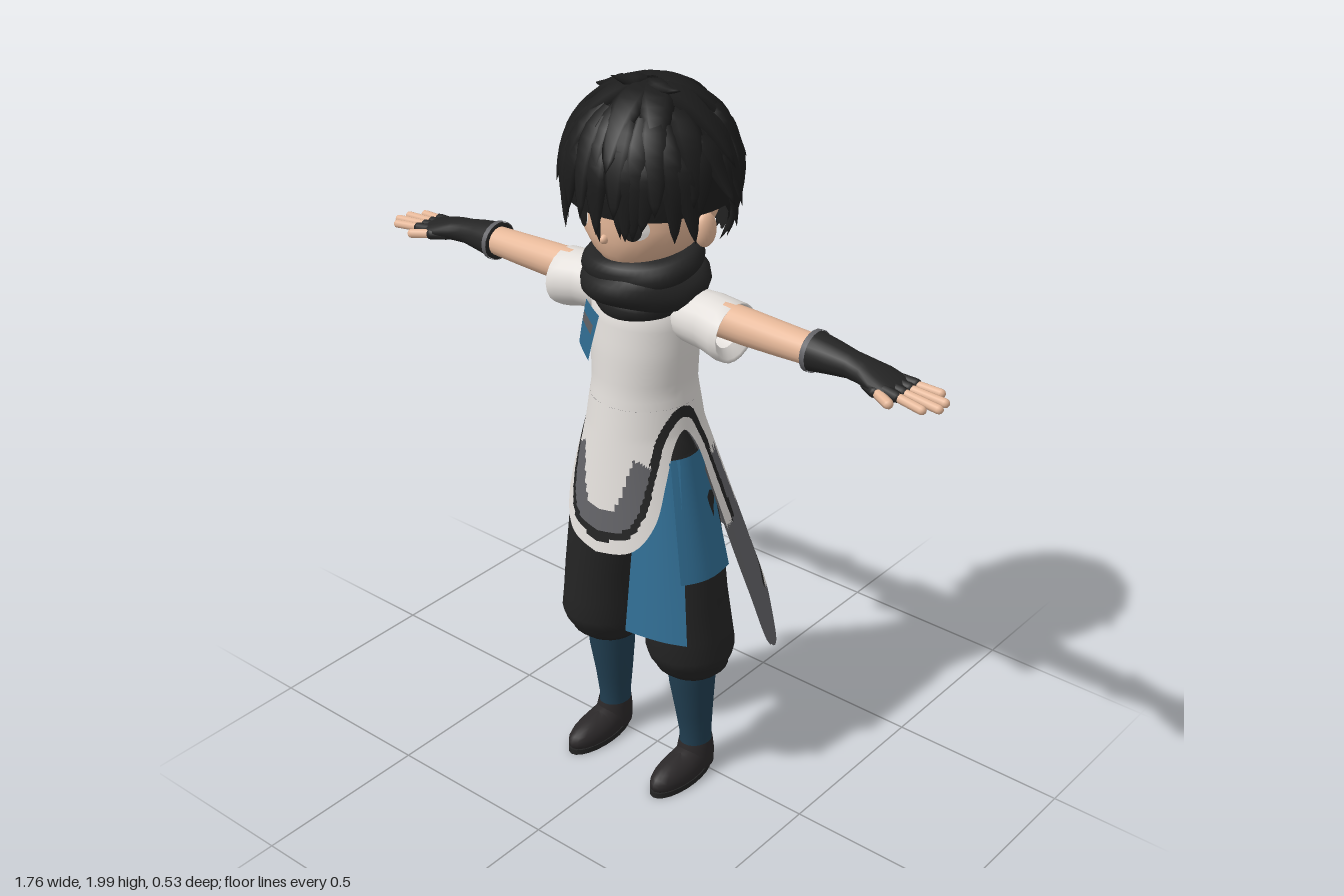
import * as THREE from 'three';
import { mergeVertices } from 'three/addons/utils/BufferGeometryUtils.js';

const mat = (name, color) => {
  const m = new THREE.MeshStandardMaterial({ color, side: THREE.DoubleSide });
  m.name = name;
  return m;
};
const { sin, cos, PI, abs, min, max, sqrt } = Math;

export function createModel() {
  const white = mat('white cloth', 0xe2deda), grey = mat('grey cloth', 0x626266);
  const black = mat('black cloth', 0x242424), hairMat = mat('black hair', 0x1c1c1c);
  const blue = mat('blue cloth', 0x316e94), navy = mat('navy boots', 0x213f52);
  const skin = mat('skin', 0xe6b899), shoeMat = mat('dark leather', 0x2b2829);
  const model = new THREE.Group();
  model.name = 'character';

  const add = (name, geo, m, parent = model) => {
    const mesh = new THREE.Mesh(geo, m);
    mesh.name = name;
    parent.add(mesh);
    return mesh;
  };
  // Surface from a rule f(u, v); pick(u, v) chooses a material index for each cell
  const grid = (nu, nv, f, pick = () => 0) => {
    const pos = [], lists = [[], [], []], g = new THREE.BufferGeometry();
    for (let j = 0; j <= nv; j++) for (let i = 0; i <= nu; i++) pos.push(...f(i / nu, j / nv));
    for (let j = 0; j < nv; j++) for (let i = 0; i < nu; i++) {
      const a = j * (nu + 1) + i, b = a + nu + 1;
      lists[pick((i + 0.5) / nu, (j + 0.5) / nv)].push(a, b, a + 1, b, b + 1, a + 1);
    }
    g.setAttribute('position', new THREE.Float32BufferAttribute(pos, 3));
    g.setIndex(lists.flat());
    let start = 0;
    lists.forEach((l, k) => { if (l.length) g.addGroup(start, l.length, k); start += l.length; });
    const merged = mergeVertices(g, 1e-5);
    merged.computeVertexNormals();
    return merged;
  };
  // Linear lookup in rows sorted by a falling first value
  const look = (rows, y) => {
    let i = 0;
    while (i < rows.length - 2 && rows[i + 1][0] > y) i++;
    const t = (y - rows[i][0]) / (rows[i + 1][0] - rows[i][0]);
    return rows[i].map((v, k) => v + (rows[i + 1][k] - v) * t);
  };
  // Stack of ellipses [y, centreX, centreZ, radiusX, radiusZ], highest first
  const loft = (rows, n = 24) => grid(n, rows.length - 1, (u, v) => {
    const [y, cx, cz, rx, rz] = rows[Math.round(v * (rows.length - 1))];
    return [cx + rx * sin(u * 2 * PI), y, cz + rz * cos(u * 2 * PI)];
  });
  const ball = (x, y, z, rx, ry, rz) => new THREE.SphereGeometry(1, 20, 14).scale(rx, ry, rz).translate(x, y, z);

  // Tunic: one cross-section rule for chest and skirt [y, side, front, back]
  const body = [[1.5, 0.07, 0.06, 0.05], [1.46, 0.12, 0.1, 0.085], [1.4, 0.146, 0.13, 0.095], [1.3, 0.145, 0.142, 0.112],
    [1.2, 0.137, 0.148, 0.115], [1.08, 0.153, 0.165, 0.138], [0.4, 0.35, 0.26, 0.385]];
  const tunic = (a, y, off = 0) => {
    const [, rx, rf, rb] = look(body, y);
    return [(rx + off) * sin(a), y, 0.04 + ((cos(a) > 0 ? rf : rb) + off) * cos(a)];
  };
  add('tunicTop', grid(40, 16, (u, v) => tunic(u * 2 * PI, 1.5 - v * 0.34)), white);

  // Skirt hem as [degrees, height]: front apron, side arches, long tail at the left
  const S = 0.22, rad = PI / 180;
  const hem = new THREE.CatmullRomCurve3([[0, 0.76], [25, 0.785], [42, 0.86], [54, 0.97], [66, 1.06], [79, 1.095], [91, 1.04],
    [97, 0.93], [102, 0.78], [107, 0.6], [112, 0.42], [116, 0.41], [128, 0.5], [148, 0.575], [180, 0.62], [215, 0.66], [248, 0.71],
    [259, 0.77], [267, 0.92], [273, 1.04], [282, 1.095], [294, 1.06], [306, 0.97], [318, 0.86], [335, 0.785], [360, 0.76]]
    .map(([d, y]) => new THREE.Vector3(d * rad * S, y, 0)));
  hem.arcLengthDivisions = 800;
  const edge = hem.getSpacedPoints(260);
  const skirtAt = (u, v) => {
    const p = hem.getPointAt(u);
    return [p.x / S, 1.16 + (p.y - 1.16) * v];
  };
  const trim = (u, v) => {
    const [a, y] = skirtAt(u, v);
    let d = 9, e = edge[0];
    for (const p of edge) {
      const q = Math.hypot(p.x - a * S, p.y - y);
      if (q < d) { d = q; e = p; }
    }
    const deg = e.x / S / rad;
    if (deg > 97 && deg < 135 && e.y < 0.8) return d < 0.15 ? 2 : 0;
    if (d < 0.034) return 0;
    if (d < (e.y > 1 ? 0.064 : 0.054)) return 1;
    return d < 0.115 && e.y < 0.99 ? 2 : 0;
  };
  add('tunicSkirt', grid(220, 40, (u, v) => tunic(...skirtAt(u, v)), trim), [white, black, grey]);
  add('skirtLining', grid(110, 16, (u, v) => tunic(...skirtAt(u, v), -0.007)), grey);

  // Blue chest strap with a buckle, hanging just off the tunic front
  const strap = (name, m, v0, v1, w, off) => add(name, grid(6, 8, (u, v) => {
    const t = v0 + (v1 - v0) * v, x = -0.068 - 0.052 * t + (u - 0.5) * w;
    return [x, 1.405 - 0.145 * t - (u - 0.5) * 0.025, 0.172 + off - 2.2 * x * x];
  }), m);
  strap('chestStrap', blue, 0, 1, 0.056, 0.009);
  strap('strapBuckle', grey, 0.22, 0.42, 0.04, 0.015);

  // Blue sash: long front strip and short side cloth, from top and bottom edges
  const panel = (name, top, bottom, bulge) => add(name, grid(8, 8, (u, v) => {
    const p = top[0].map((_, k) => {
      const a = top[0][k] + (top[1][k] - top[0][k]) * u, b = bottom[0][k] + (bottom[1][k] - bottom[0][k]) * u;
      return a + (b - a) * v;
    });
    const s = bulge * sin(u * PI);
    return [p[0] + s, p[1], p[2] + s * 0.5];
  }), blue);
  panel('sashFront', [[0.07, 1.0, 0.16], [0.165, 1.03, 0.11]], [[0.083, 0.54, 0.232], [0.245, 0.53, 0.175]], 0.012);
  panel('sashSide', [[0.15, 1.03, 0.13], [0.155, 1.03, 0.0]], [[0.215, 0.7, 0.165], [0.235, 0.69, -0.01]], 0.02);
  add('hips', ball(0, 0.92, 0.05, 0.155, 0.2, 0.115), black);

  // Legs and arms, built once for the left and mirrored
  for (const side of [1, -1]) {
    const limb = new THREE.Group();
    limb.name = side > 0 ? 'leftLimbs' : 'rightLimbs';
    limb.scale.x = side;
    model.add(limb);
    add('trouserLeg', loft([[1.02, 0.08, 0.05, 0.07, 0.1], [0.9, 0.1, 0.05, 0.098, 0.112], [0.75, 0.118, 0.05, 0.11, 0.118],
      [0.6, 0.135, 0.05, 0.11, 0.12], [0.5, 0.145, 0.045, 0.112, 0.124], [0.44, 0.15, 0.043, 0.117, 0.125], [0.41, 0.15, 0.04, 0.11, 0.117],
      [0.385, 0.15, 0.038, 0.098, 0.1], [0.375, 0.15, 0.035, 0.098, 0.1], [0.355, 0.148, 0.032, 0.08, 0.08], [0.36, 0.148, 0.03, 0.03, 0.03]]), black, limb);
    add('boot', loft([[0.4, 0.145, 0.03, 0.066, 0.073], [0.3, 0.144, 0.025, 0.06, 0.068], [0.2, 0.145, 0.017, 0.05, 0.055],
      [0.12, 0.147, 0.012, 0.042, 0.047], [0.06, 0.148, 0.012, 0.042, 0.047]]), navy, limb);
    const shoe = ball(0.15, 0.03, 0.08, 0.05, 0.048, 0.12), p = shoe.attributes.position;
    for (let i = 0; i < p.count; i++) {
      const heel = max(0, 0.09 - p.getZ(i)) / 0.13;
      p.setY(i, max(0.006, p.getY(i) * (1 + 0.5 * heel)));
    }
    shoe.computeVertexNormals();
    add('shoe', shoe, shoeMat, limb);
    add('ankleCuff', loft([[0.1, 0.148, 0.012, 0.044, 0.05], [0.06, 0.149, 0.015, 0.05, 0.056], [0.02, 0.15, 0.015, 0.048, 0.056]]), shoeMat, limb);
    add('sole', new THREE.CylinderGeometry(1, 1, 0.016, 24).scale(0.05, 1, 0.12).translate(0.15, 0.008, 0.08), black, limb);

    // Rings here run along the arm: [x, drop, z, half height, half depth]
    const arm = (name, rows, m) => {
      const g = loft(rows, 20).rotateZ(-PI / 2).translate(0, 1.42, 0);
      return add(name, g, m, limb);
    };
    arm('sleeve', [[0.25, 0.025, 0.035, 0.05, 0.05], [0.272, 0.028, 0.035, 0.069, 0.074], [0.275, 0.03, 0.035, 0.076, 0.081],
      [0.25, 0.03, 0.034, 0.077, 0.081], [0.2, 0.022, 0.032, 0.073, 0.076], [0.14, 0.022, 0.03, 0.068, 0.074], [0.06, 0.02, 0.03, 0.05, 0.06]].map(r => [r[0], -r[1] * -1, ...r.slice(2)]), white);
    arm('forearm', [[0.55, 0, 0.04, 0.037, 0.038], [0.42, 0, 0.041, 0.042, 0.043], [0.32, 0, 0.04, 0.046, 0.045], [0.2, 0, 0.038, 0.047, 0.046]], skin);
    arm('glove', [[0.765, 0.02, 0.042, 0.008, 0.03], [0.745, 0.018, 0.042, 0.019, 0.052], [0.7, 0.012, 0.042, 0.026, 0.055],
      [0.66, 0.006, 0.04, 0.03, 0.044], [0.62, 0.002, 0.04, 0.033, 0.038], [0.57, 0, 0.04, 0.041, 0.045], [0.515, 0, 0.04, 0.049, 0.053],
      [0.505, 0, 0.04, 0.049, 0.053], [0.51, 0, 0.04, 0.036, 0.038]], black);
    arm('gloveCuff', [[0.521, 0, 0.04, 0.052, 0.056], [0.507, 0, 0.04, 0.052, 0.056]], grey);
    const finger = (name, x, y, z, len, r, yaw, m) => {
      const f = add(name, new THREE.CapsuleGeometry(r, len, 4, 8).rotateZ(PI / 2).translate(len / 2, 0, 0), m, limb);
      f.position.set(x, y, z);
      f.rotation.set(0, yaw, -0.08);
    };
    [0.1, 0.125, 0.12, 0.09].forEach((len, i) => {
      const z = 0.078 - i * 0.024, yaw = -0.12 + i * 0.08;
      finger('finger', 0.745, 1.403, z, len, 0.0115, yaw, skin);
      finger('gloveFinger', 0.735, 1.404, z, 0.035, 0.0145, yaw, black);
    });
    finger('thumb', 0.7, 1.4, 0.078, 0.075, 0.013, -0.45, skin);
    finger('gloveThumb', 0.68, 1.402, 0.07, 0.04, 0.016, -0.45, black);
  }

  // Scarf: stacked uneven rolls around the neck
  [[1.435, 0.092, 0.045, 0.03], [1.475, 0.112, 0.05, 0.04], [1.525, 0.114, 0.04, -0.08]].forEach(([y, R, r, tilt], i) => {
    const g = grid(48, 14, (u, v) => {
      const a = u * 2 * PI, b = v * 2 * PI, k = r * (1 + 0.1 * sin(3 * a + i * 2 + 2 * b));
      return [(R * 1.04 + k * cos(b)) * sin(a), -k * sin(b), (R * 0.95 + k * cos(b)) * cos(a)];
    });
    const roll = add('scarfRoll', g, black);
    roll.position.set(0, y, 0.05);
    roll.rotation.set(-tilt + 0.06, 0, (i - 1) * 0.05);
  });
  add('neck', new THREE.CylinderGeometry(0.06, 0.07, 0.16, 16).translate(0, 1.52, 0.03), skin);

  // Head
  const skull = [[1.92, 0, 0.02, 0.01, 0.01], [1.88, 0, 0.02, 0.11, 0.11], [1.8, 0, 0.025, 0.17, 0.165], [1.72, 0, 0.03, 0.181, 0.17],
    [1.65, 0, 0.034, 0.174, 0.167], [1.61, 0, 0.04, 0.156, 0.158], [1.57, 0, 0.05, 0.12, 0.136], [1.54, 0, 0.06, 0.08, 0.105], [1.52, 0, 0.07, 0.03, 0.05]];
  add('head', loft(skull, 32), skin);
  add('nose', ball(0, 1.615, 0.198, 0.01, 0.012, 0.014), skin);
  // Thin ovals that follow the face
  const facePatch = (name, cx, cy, w, h, off, m) => add(name, grid(20, 5, (u, v) => {
    const x = cx + w * v * sin(u * 2 * PI), y = cy + h * v * cos(u * 2 * PI);
    const [, , cz, rx, rz] = look(skull, y);
    return [x, y, cz + rz * sqrt(max(0, 1 - (x / rx) ** 2)) + off];
  }), m);
  for (const s of [1, -1]) {
    facePatch('eyeWhite', s * 0.083, 1.658, 0.031, 0.031, 0.004, white);
    facePatch('iris', s * 0.077, 1.66, 0.024, 0.035, 0.007, hairMat);
    facePatch('lash', s * 0.083, 1.688, 0.037, 0.009, 0.009, hairMat);
    const ear = add('ear', ball(0, 0, 0, 0.02, 0.045, 0.03), skin);
    ear.position.set(s * 0.178, 1.635, 0.035);
    ear.rotation.y = s * -0.3;
  }

  // Hair: a cap over the skull, then rows of pointed locks lying on it
  const onHair = (a, p, k = 1) => {
    const r = 0.218 * k, s = p > PI / 2 ? sqrt(max(0, sin(p))) : sin(p);
    return new THREE.Vector3(r * s * sin(a), 1.75 + r * cos(p), 0.022 + r * s * cos(a));
  };
  const hairEnd = a => {
    const d = abs(Math.atan2(sin(a), cos(a))) / rad;
    return (d < 55 ? 108 : d < 100 ? 106 : min(140, 106 + (d - 100) * 1.5)) * rad;
  };
  add('hairCap', grid(48, 16, (u, v) => onHair(u * 2 * PI, v * hairEnd(u * 2 * PI), 0.97).toArray()), hairMat);
  const lock = (a, p0, p1, width, lift, twist, thick = 0.02) => add('hairLock', grid(6, 9, (u, v) => {
    const az = a + twist * v, p = p0 + (p1 - p0) * v;
    const c = onHair(az, p, 0.98 + lift * v * v * v);
    const n = c.clone().sub(new THREE.Vector3(0, 1.75, 0.022)).normalize();
    const w = min(1, 0.45 + 2 * v) * (1 - v) ** 0.65, f = u * 2 * PI;
    c.addScaledVector(new THREE.Vector3(cos(az), 0, -sin(az)), width * w * cos(f));
    return c.addScaledVector(n, thick * w * sin(f)).toArray();
  }), hairMat);
  const ring = (n, p0, p1, width, lift, shift) => {
    for (let i = 0; i < n; i++) {
      const a = (i + shift) / n * 2 * PI, wob = sin(i * 2.7 + n);
      const end = p1 ?? hairEnd(a) / rad + 8;
      lock(a, p0 * rad, (end + wob * 6) * rad, width, lift * (1 + 0.5 * wob), 0.16 * wob);
    }
  };
  ring(9, 4, 74, 0.062, 0.08, 0.2);
  ring(13, 36, 100, 0.055, 0.1, 0.5);
  ring(19, 62, null, 0.045, 0.09, 0.1);
  // Fringe points, side spikes and crown tuft [degrees, from, to, width, lift, twist]
  [[-44, 40, 120, 0.05, 0.06, 0.1], [-25, 35, 118, 0.045, 0.06, -0.1], [-4, 30, 126, 0.045, 0.06, 0.12], [14, 35, 118, 0.04, 0.07, 0.1],
    [32, 40, 120, 0.045, 0.06, -0.08], [52, 45, 122, 0.045, 0.06, 0.05], [-64, 50, 122, 0.04, 0.06, 0], [82, 55, 97, 0.045, 0.24, 0.1],
    [-84, 55, 96, 0.045, 0.24, -0.1], [-78, 75, 122, 0.035, 0.2, 0], [172, 65, 102, 0.05, 0.2, 0.1], [150, 55, 92, 0.05, 0.16, 0]]
    .forEach(([d, p0, p1, w, l, t]) => lock(d * rad, p0 * rad, p1 * rad, w, l, t));
  lock(-0.9, 0.05, 0.42, 0.045, 0.24, 0.5, 0.025);
  lock(0.9, 0.05, 0.5, 0.04, 0.17, 0.4, 0.025);
  lock(-1.4, 0.3, 0.9, 0.04, 0.2, -0.3, 0.025);
  return model;
}
